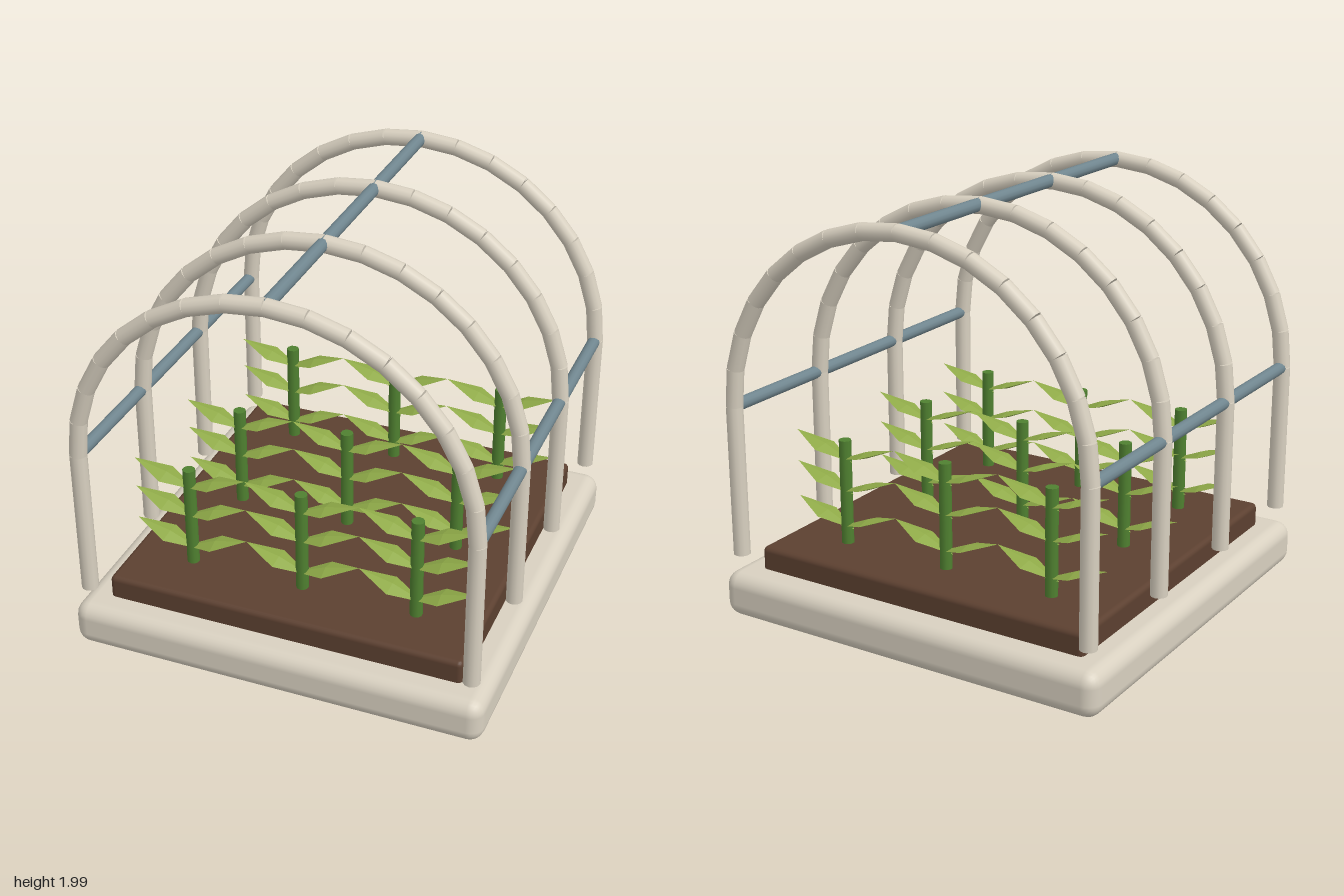
import * as THREE from 'three';
import { RoundedBoxGeometry } from 'three/addons/geometries/RoundedBoxGeometry.js';

const mat = (color, flatShading = false) => new THREE.MeshStandardMaterial({ color, flatShading });
const UP = new THREE.Vector3(0, 1, 0);

function add(parent, name, geometry, material, x = 0, y = 0, z = 0) {
  const mesh = new THREE.Mesh(geometry, material);
  mesh.name = name;
  mesh.position.set(x, y, z);
  parent.add(mesh);
  return mesh;
}

// Capped straight tube between two points
function rod(parent, name, a, b, radius, material) {
  const dir = b.clone().sub(a);
  const geometry = new THREE.CylinderGeometry(radius, radius, dir.length(), 12);
  const mid = a.clone().add(b).multiplyScalar(0.5);
  const mesh = add(parent, name, geometry, material, mid.x, mid.y, mid.z);
  mesh.quaternion.setFromUnitVectors(UP, dir.normalize());
  return mesh;
}

export function createModel() {
  const model = new THREE.Group();
  model.name = 'hoopGreenhouse';
  const cream = mat(0xd8d0c0);
  const steel = mat(0x70868f);
  const earth = mat(0x5c4030);
  const stemGreen = mat(0x4f8030);
  const leafGreen = mat(0x8faa48, true);

  // Plinth and soil bed
  add(model, 'base', new RoundedBoxGeometry(2, 0.22, 2, 3, 0.07), cream, 0, 0.115, 0).position.y = 0.11;
  add(model, 'soil', new RoundedBoxGeometry(1.73, 0.17, 1.73, 2, 0.025), earth, 0, 0.245, 0);

  // Hoops: two legs and an arch of short straight pieces
  const SPRING = 1.03, RX = 0.93, RY = 0.92, PIECES = 16, TUBE = 0.04;
  for (const z of [-0.93, -0.307, 0.307, 0.93]) {
    const hoop = new THREE.Group();
    hoop.name = 'hoop';
    hoop.position.z = z;
    model.add(hoop);
    for (const side of [-1, 1]) {
      rod(hoop, 'hoopLeg', new THREE.Vector3(side * RX, 0.305, 0), new THREE.Vector3(side * RX, SPRING, 0), TUBE, cream);
    }
    const point = (i) => {
      const t = (i / PIECES) * Math.PI;
      return new THREE.Vector3(RX * Math.cos(t), SPRING + RY * Math.sin(t), 0);
    };
    for (let i = 0; i < PIECES; i++) rod(hoop, 'hoopPiece', point(i), point(i + 1), TUBE, cream);
  }

  // Ridge rail and two side rails
  for (const [name, x, y] of [['ridgeRail', 0, 1.955], ['leftRail', RX, SPRING], ['rightRail', -RX, SPRING]]) {
    rod(model, name, new THREE.Vector3(x, y, -0.93), new THREE.Vector3(x, y, 0.93), 0.03, steel);
  }

  // Plants: a stem with three pairs of rising diamond leaves
  const stemGeometry = new THREE.CylinderGeometry(0.03, 0.03, 0.54, 10);
  const leafGeometry = new THREE.OctahedronGeometry(1).scale(0.168, 0.015, 0.07);
  for (const z of [-0.607, 0.045, 0.602]) {
    for (const x of [-0.557, 0, 0.557]) {
      const plant = new THREE.Group();
      plant.name = 'plant';
      plant.position.set(x, 0, z);
      model.add(plant);
      add(plant, 'stem', stemGeometry, stemGreen, 0, 0.57, 0);
      for (const y of [0.787, 0.63, 0.455]) {
        for (const side of [-1, 1]) {
          add(plant, 'leaf', leafGeometry, leafGreen, side * 0.12, y, 0).rotation.z = side * 0.32;
        }
      }
    }
  }
  return model;
}
